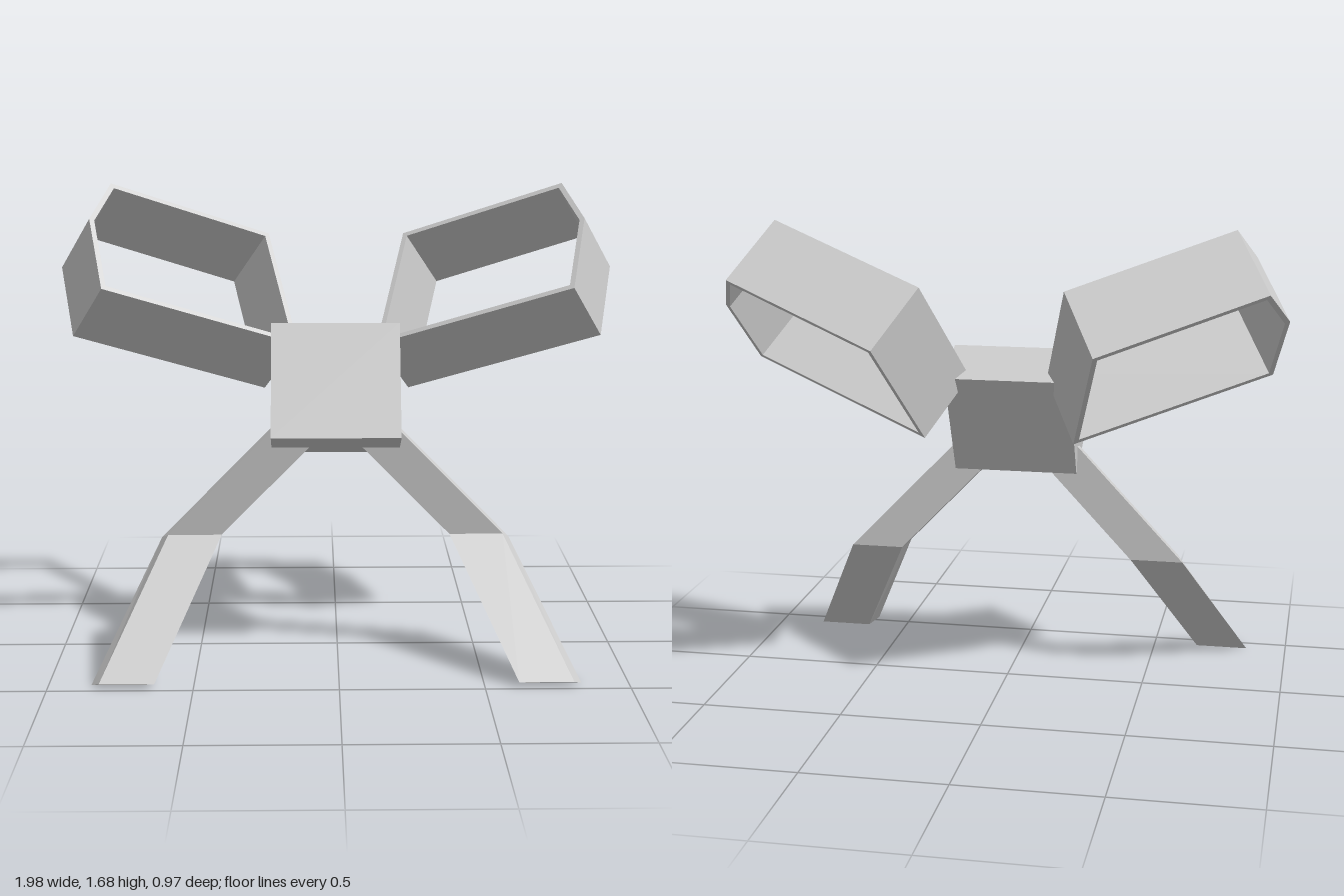
import * as THREE from 'three';

const material = new THREE.MeshStandardMaterial({ color: 0xcccccc, flatShading: true });
const CENTRE_X = -0.008; // body and legs sit slightly off the centre line
const WALL = 0.018;      // wall thickness of the wing frames

// Moves every edge of a convex polygon inwards by t and intersects neighbours.
function inset(points, t) {
  const n = points.length;
  const centre = points.reduce((s, p) => s.add(p), new THREE.Vector2()).divideScalar(n);
  const lines = points.map((p, i) => {
    const e = points[(i + 1) % n].clone().sub(p).normalize();
    const normal = new THREE.Vector2(-e.y, e.x);
    if (normal.dot(centre.clone().sub(p)) < 0) normal.negate();
    return { normal, c: normal.dot(p) + t };
  });
  return lines.map((b, i) => {
    const a = lines[(i + n - 1) % n];
    const det = a.normal.x * b.normal.y - a.normal.y * b.normal.x;
    return new THREE.Vector2(
      (a.c * b.normal.y - b.c * a.normal.y) / det,
      (a.normal.x * b.c - b.normal.x * a.c) / det);
  });
}

// Five-sided hollow frame, extruded backwards and down.
function createWing(side) {
  const corners = [
    [0.14, 1.117, 0.008], [0.255, 1.47, -0.315], [0.81, 1.67, -0.133],
    [0.87, 1.56, 0.03], [0.81, 1.342, 0.228],
  ].map(([x, y, z]) => new THREE.Vector3(x * side, y, z));
  const depth = new THREE.Vector3(0.124 * side, -0.19, -0.178);
  const w = depth.clone().normalize();
  const u = corners[4].clone().sub(corners[0]);
  u.addScaledVector(w, -u.dot(w)).normalize();
  const v = w.clone().cross(u);

  const outline = corners.map((p) => {
    const d = p.clone().sub(corners[0]);
    return new THREE.Vector2(d.dot(u), d.dot(v));
  });
  // Outline runs counter-clockwise and the hole clockwise, so all walls face outwards.
  if (THREE.ShapeUtils.isClockWise(outline)) outline.reverse();
  const shape = new THREE.Shape(outline);
  shape.holes.push(new THREE.Path(inset(outline, WALL).reverse()));
  const geometry = new THREE.ExtrudeGeometry(shape, { depth: depth.length(), bevelEnabled: false });
  geometry.applyMatrix4(new THREE.Matrix4().makeBasis(u, v, w).setPosition(corners[0]));
  return new THREE.Mesh(geometry, material);
}

// Four-sided leg lofted from hip through knee to foot.
function createLeg(side) {
  // Each section: outer front corner, then outer back corner; both go inwards by the width.
  const sections = [
    [[0.165, 0.90, 0.19], [0.185, 0.885, 0.145]],
    [[0.595, 0.455, 0.15], [0.62, 0.435, 0.105]],
    [[0.815, 0.018, 0.485], [0.845, 0, 0.44]],
  ].map(([f, b]) => [
    [f[0] - 0.19, f[1], f[2]], f, b, [b[0] - 0.19, b[1], b[2]],
  ].map(([x, y, z]) => [x * side, y, z]));

  const positions = [];
  const quad = (a, b, c, d) => {
    const order = side > 0 ? [a, b, c, a, c, d] : [a, c, b, a, d, c];
    order.forEach((p) => positions.push(...p));
  };
  for (let s = 0; s < sections.length - 1; s++) {
    for (let i = 0; i < 4; i++) {
      const j = (i + 1) % 4;
      quad(sections[s + 1][i], sections[s + 1][j], sections[s][j], sections[s][i]);
    }
  }
  quad(...sections[0]);
  quad(...[...sections[sections.length - 1]].reverse());

  const geometry = new THREE.BufferGeometry();
  geometry.setAttribute('position', new THREE.Float32BufferAttribute(positions, 3));
  geometry.computeVertexNormals();
  const leg = new THREE.Mesh(geometry, material);
  leg.position.x = CENTRE_X;
  return leg;
}

export function createModel() {
  const model = new THREE.Group();
  model.name = 'wingedWalker';

  // Body: a slab leaning backwards
  const body = new THREE.Mesh(new THREE.BoxGeometry(0.45, 0.415, 0.203), material);
  body.name = 'body';
  body.position.set(CENTRE_X, 0.978, 0.1175);
  body.rotation.x = -0.453;
  model.add(body);

  // Mirrored wings and legs
  for (const [label, side] of [['left', 1], ['right', -1]]) {
    const wing = createWing(side);
    wing.name = label + 'WingFrame';
    const leg = createLeg(side);
    leg.name = label + 'Leg';
    model.add(wing, leg);
  }
  return model;
}
